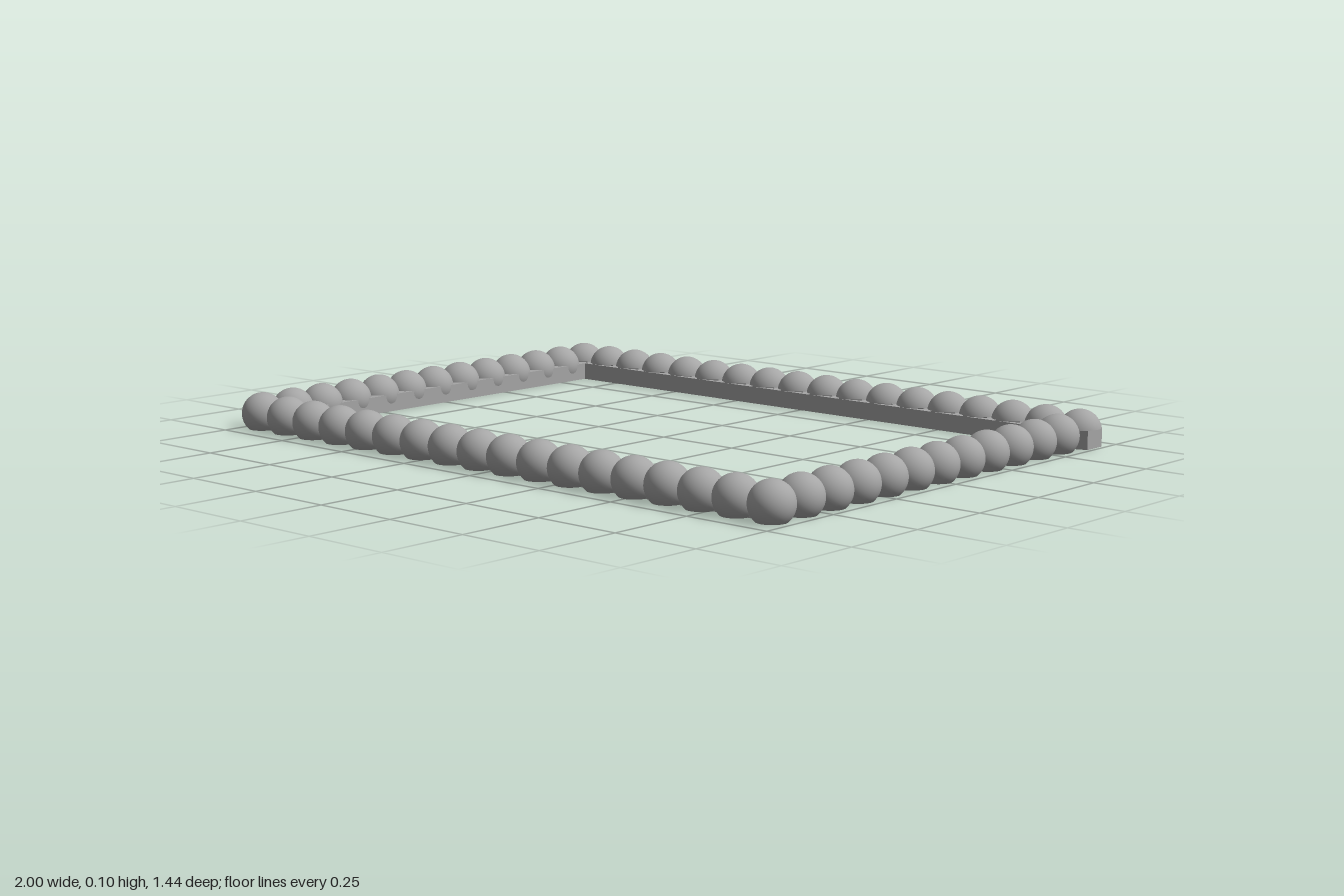
import * as THREE from 'three';
import { mergeGeometries } from 'three/addons/utils/BufferGeometryUtils.js';

const R = 0.06;        // bead radius
const CY = 0.044;      // bead centre height
const X = 0.94, Z = 0.66; // centre lines of the bead rows

// Sphere cut flat at height y, with the cut closed
function cutSphere(y) {
  const angle = Math.acos((y - CY) / R);
  const dome = new THREE.SphereGeometry(R, 32, 18, 0, Math.PI * 2, 0, angle);
  const cap = new THREE.CircleGeometry(R * Math.sin(angle), 32);
  cap.rotateX(Math.PI / 2).translate(0, y - CY, 0);
  return mergeGeometries([dome, cap]).translate(0, CY, 0);
}

export function createModel() {
  const model = new THREE.Group();
  const grey = new THREE.MeshStandardMaterial({ color: 0xa6a6a6 });
  grey.name = 'grey';

  const add = (geometry, name, x, z) => {
    const mesh = new THREE.Mesh(geometry, grey);
    mesh.name = name;
    mesh.position.set(x, 0, z);
    model.add(mesh);
  };

  // Rectangular frame that carries the beads
  const outline = new THREE.Shape();
  outline.moveTo(-0.945, -0.665).lineTo(0.945, -0.665).lineTo(0.945, 0.665).lineTo(-0.945, 0.665).closePath();
  const opening = new THREE.Path();
  opening.moveTo(-0.884, -0.604).lineTo(-0.884, 0.604).lineTo(0.884, 0.604).lineTo(0.884, -0.604).closePath();
  outline.holes.push(opening);
  const frame = new THREE.ExtrudeGeometry(outline, { depth: 0.05, bevelEnabled: false });
  frame.rotateX(-Math.PI / 2);
  add(frame, 'frame', 0, 0);

  // Front beads, and back domes on five-sided posts
  const bead = cutSphere(0);
  const dome = cutSphere(0.053);
  const post = new THREE.CylinderGeometry(R, R, 0.053, 5, 1, false, -Math.PI / 2).toNonIndexed();
  post.computeVertexNormals();
  post.translate(0, 0.0265, 0);
  for (let i = 0; i < 18; i++) {
    const x = -X + (2 * X * i) / 17;
    add(bead, 'frontBead', x, Z);
    add(dome, 'backDome', x, -Z);
    add(post, 'backPost', x, -Z);
  }

  // Side beads
  for (const side of [-1, 1]) {
    for (let i = 1; i < 12; i++) add(bead, 'sideBead', side * X, -Z + (2 * Z * i) / 12);
  }
  return model;
}
